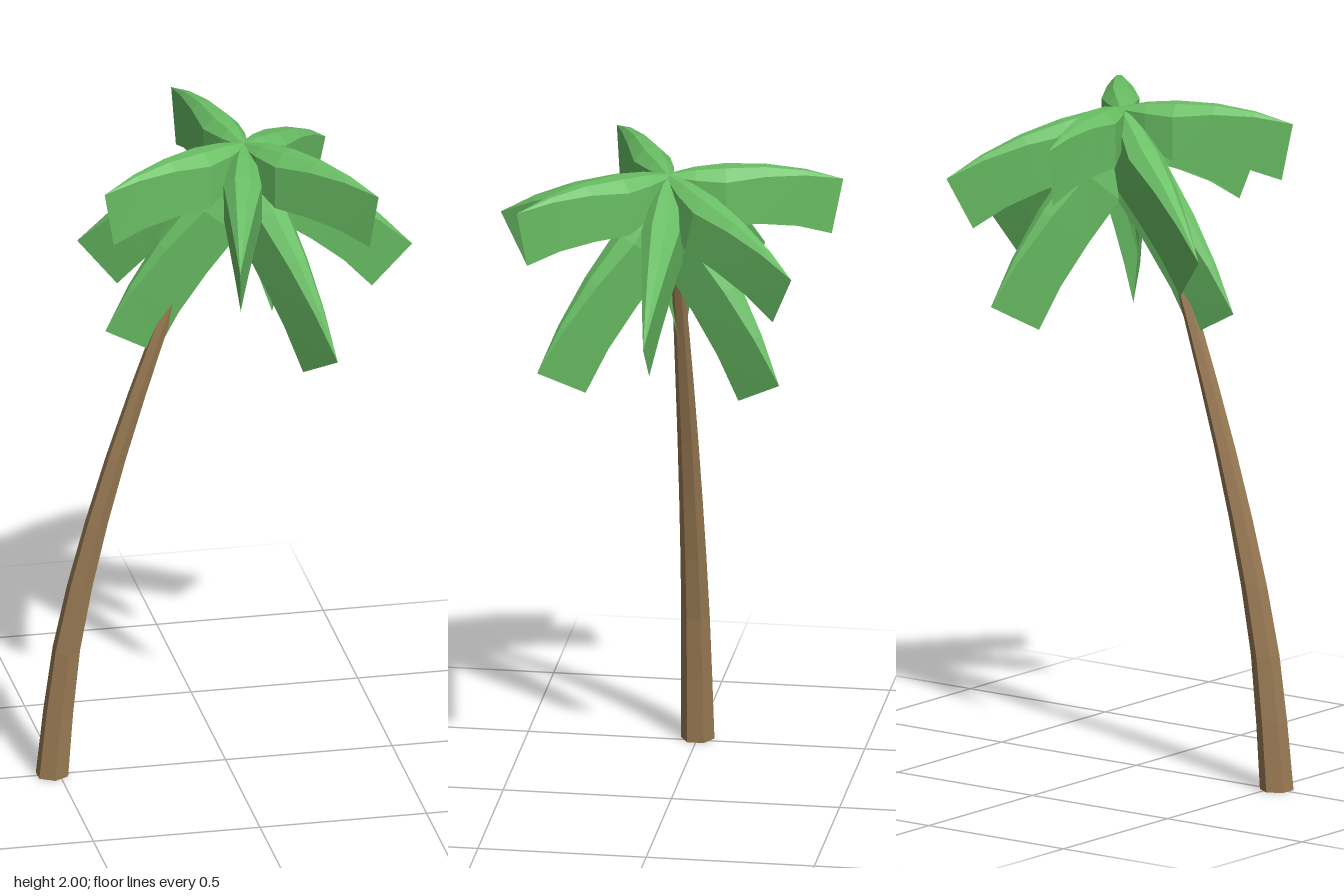
import * as THREE from 'three';

const leaf = new THREE.MeshStandardMaterial({ color: 0x6abf65, side: THREE.DoubleSide });
leaf.name = 'leafGreen';
const bark = new THREE.MeshStandardMaterial({ color: 0x9a7b54 });
bark.name = 'barkBrown';

// Crown centre, where all fronds meet
const HUB = new THREE.Vector3(0.055, 1.98, 0);

// Faceted normals for the low-poly look
function faceted(geometry) {
  const g = geometry.index ? geometry.toNonIndexed() : geometry;
  g.computeVertexNormals();
  return g;
}

// Frond stations: [position along length, ridge rise, half width, side drop]
const STATIONS = [
  [0, 0, 0.012, 0.02],
  [0.15, 0.019, 0.04, 0.125],
  [0.32, 0.03, 0.056, 0.165],
  [0.55, 0.035, 0.038, 0.17],
  [0.78, 0.025, 0.019, 0.17],
  [1, 0, 0, 0.172],
];

// Folded leaf: an arched channel whose sides close to a blade at the tip
function frondGeometry(length) {
  const positions = [];
  const index = [];
  const cols = 6;
  for (const [t, rise, w, drop] of STATIONS) {
    const lean = 0.14 * (2 * t - 1) * drop;
    const shoulder = Math.min(0.6 * w, drop);
    const x = t * length;
    const section = [
      [x - lean, rise - drop, w], [x, rise - shoulder, w], [x, rise, 0.4 * w],
      [x, rise, -0.4 * w], [x, rise - shoulder, -w], [x - lean, rise - drop, -w],
    ];
    section.forEach((p) => positions.push(...p));
  }
  for (let i = 0; i < STATIONS.length - 1; i++) {
    for (let j = 0; j < cols - 1; j++) {
      const a = i * cols + j;
      const b = a + cols;
      index.push(a, b, b + 1, a, b + 1, a + 1);
    }
  }
  const g = new THREE.BufferGeometry();
  g.setAttribute('position', new THREE.Float32BufferAttribute(positions, 3));
  g.setIndex(index);
  return faceted(g);
}

// Droop levels: [length, pitch in degrees]
const DROOP = {
  high: [0.516, -3.3],
  middle: [0.563, -19.7],
  low: [0.626, -36.2],
  hanging: [0.705, -53.9],
};

function frond(level, azimuth) {
  const [length, pitch] = DROOP[level];
  const mesh = new THREE.Mesh(frondGeometry(length), leaf);
  mesh.name = level + 'Frond';
  mesh.position.copy(HUB);
  // Pitch the leaf first, then swing it round the crown
  mesh.rotation.order = 'YXZ';
  mesh.rotation.y = -azimuth;
  mesh.rotation.z = THREE.MathUtils.degToRad(pitch);
  return mesh;
}

// Curved, tapering six-sided trunk with level rings
function trunk() {
  const curve = new THREE.CatmullRomCurve3([
    [-0.521, 0], [-0.478, 0.4], [-0.387, 0.8], [-0.266, 1.2], [-0.142, 1.55], [0.03, 1.95],
  ].map(([x, y]) => new THREE.Vector3(x, y, 0)));
  const g = new THREE.CylinderGeometry(0.012, 0.05, 1, 6, 10);
  const pos = g.attributes.position;
  for (let i = 0; i < pos.count; i++) {
    const c = curve.getPoint(THREE.MathUtils.clamp(pos.getY(i) + 0.5, 0, 1));
    pos.setXYZ(i, pos.getX(i) + c.x, c.y, pos.getZ(i));
  }
  const mesh = new THREE.Mesh(faceted(g), bark);
  mesh.name = 'trunk';
  return mesh;
}

export function createModel() {
  const model = new THREE.Group();
  model.name = 'palmTree';
  model.add(trunk());

  // Upper ring of seven fronds with mixed droop, then three hanging below
  const crown = new THREE.Group();
  crown.name = 'crown';
  const ring = ['low', 'high', 'middle', 'high', 'low', 'high', 'middle'];
  ring.forEach((level, i) => crown.add(frond(level, (i * Math.PI * 2) / 7)));
  for (let i = 0; i < 3; i++) crown.add(frond('hanging', Math.PI / 3 + (i * Math.PI * 2) / 3));
  model.add(crown);
  return model;
}
